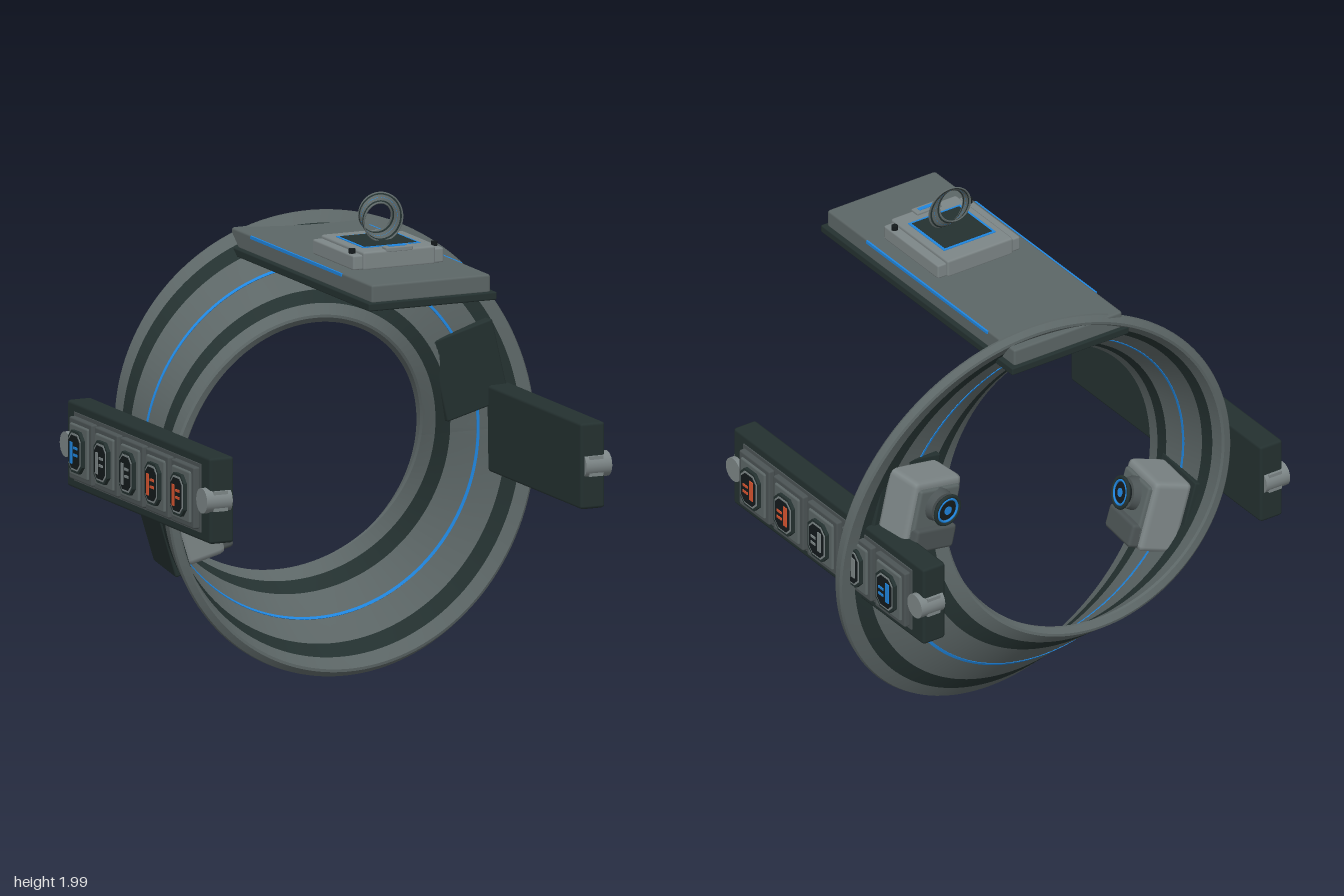
import * as THREE from 'three';
import { RoundedBoxGeometry } from 'three/addons/geometries/RoundedBoxGeometry.js';

const mat = (name, color, side = THREE.FrontSide) => {
  const m = new THREE.MeshStandardMaterial({ color, side });
  m.name = name;
  return m;
};
const hull = mat('gunmetal', 0x5c6666);
const panel = mat('panelGrey', 0x4c5455);
const dark = mat('darkGreen', 0x243130);
const light = mat('lightGrey', 0x7d8687);
const blue = mat('blueGlow', 0x1f86e0);
const orange = mat('orangeGlow', 0xdb5530);
const black = mat('black', 0x141a1c);

const add = (parent, name, geo, material, x = 0, y = 0, z = 0) => {
  const m = new THREE.Mesh(geo, material);
  m.name = name;
  m.position.set(x, y, z);
  parent.add(m);
  return m;
};
const box = (parent, name, material, w, h, d, x, y, z) =>
  add(parent, name, new THREE.BoxGeometry(w, h, d), material, x, y, z);
const rbox = (parent, name, material, w, h, d, x, y, z, r = 0.012) =>
  add(parent, name, new RoundedBoxGeometry(w, h, d, 1, r), material, x, y, z);

// Half-twisted band: s runs across the width, h through the thickness
const R = 0.7, HALF = 0.25, THICK = 0.022;
function bandPoint(u, s, h) {
  const c = Math.cos(u / 2), n = Math.sin(u / 2);
  const r = R + s * c + h * n;
  return [r * Math.cos(u), r * Math.sin(u), h * c - s * n];
}
// Each segment [s0, h0, s1, h1] is swept once round the loop
function bandStrip(segments, steps) {
  const pos = [], index = [];
  for (const [s0, h0, s1, h1] of segments) {
    const start = pos.length / 3;
    for (let i = 0; i <= steps; i++) {
      const u = (i / steps) * Math.PI * 2;
      pos.push(...bandPoint(u, s0, h0), ...bandPoint(u, s1, h1));
      if (i < steps) {
        const a = start + i * 2;
        index.push(a, a + 1, a + 2, a + 1, a + 3, a + 2);
      }
    }
  }
  const g = new THREE.BufferGeometry();
  g.setAttribute('position', new THREE.Float32BufferAttribute(pos, 3));
  g.setIndex(index);
  g.computeVertexNormals();
  return g;
}
function makeBand(steps) {
  const band = new THREE.Group();
  const T = THICK, E = HALF - 0.008, b = T - 0.008;
  // Segments on both faces, mirrored through the centre of the section
  const both = (list) => list.flatMap(([a, h, c, k]) => [[a, h, c, k], [-a, -h, -c, -k]]);
  add(band, 'bandShell', bandStrip(both([
    [-E, T, -0.185, T], [-0.12, T, 0.12, T], [0.185, T, E, T],
  ]), steps), hull);
  add(band, 'bandRim', bandStrip(both([
    [E, T, HALF, b], [HALF, b, HALF, -b], [HALF, -b, E, -T],
  ]), steps), hull);
  add(band, 'bandDarkStripes', bandStrip(both([
    [-0.185, T, -0.12, T], [0.12, T, 0.185, T],
  ]), steps), dark);
  const w = 0.006, k = T + 0.003;
  add(band, 'bandLightLine', bandStrip(both([
    [-w, T, -w, k], [-w, k, w, k], [w, k, w, T],
  ]), steps), blue);
  return band;
}

// Deck with console and small twisted ring
function makeDeck() {
  const g = new THREE.Group();
  g.name = 'deck';
  rbox(g, 'deckBase', dark, 0.55, 0.032, 1.3, 0, 1.658, 0.12, 0.006);
  rbox(g, 'deckPlate', hull, 0.51, 0.075, 1.27, 0, 1.705, 0.12, 0.01);
  for (const s of [-1, 1]) {
    box(g, 'deckSideLight', blue, 0.008, 0.012, 0.82, s * 0.255, 1.734, 0.075);
    rbox(g, 'consoleSideBar', light, 0.045, 0.06, 0.37, s * 0.172, 1.77, 0.275, 0.008);
    add(g, 'consoleKnob', new THREE.CylinderGeometry(0.013, 0.013, 0.02, 12), black, s * 0.176, 1.808, 0.41);
  }
  rbox(g, 'consoleBody', light, 0.31, 0.075, 0.39, 0, 1.775, 0.275, 0.01);
  box(g, 'consoleLightFrame', blue, 0.245, 0.006, 0.245, 0, 1.812, 0.275);
  box(g, 'consoleScreen', dark, 0.222, 0.006, 0.222, 0, 1.814, 0.275);
  rbox(g, 'consoleTab', light, 0.115, 0.02, 0.045, 0, 1.812, 0.448, 0.005);
  box(g, 'consoleTabLight', blue, 0.075, 0.004, 0.018, 0, 1.822, 0.448);
  const ring = makeBand(48);
  ring.name = 'miniatureBand';
  ring.scale.setScalar(0.108);
  ring.position.set(0, 1.905, 0.285);
  g.add(ring);
  return g;
}

// Chamfered plate lying in the local YZ plane, extruded along +x
function chamferPlate(w, h, c, depth) {
  const a = w / 2, b = h / 2;
  const shape = new THREE.Shape([
    [-a + c, -b], [a - c, -b], [a, -b + c], [a, b - c],
    [a - c, b], [-a + c, b], [-a, b - c], [-a, -b + c],
  ].map(([x, y]) => new THREE.Vector2(x, y)));
  return new THREE.ExtrudeGeometry(shape, { depth, bevelEnabled: false }).rotateY(Math.PI / 2);
}

// Side rail with five display modules on its outer (+x) face
function makeRail(side) {
  const g = new THREE.Group();
  g.name = side > 0 ? 'leftRail' : 'rightRail';
  rbox(g, 'railBeam', dark, 0.105, 0.34, 1.29, 0, 0, 0, 0.012);
  box(g, 'railPanel', panel, 0.008, 0.27, 1.14, 0.053, 0, 0);
  for (const s of [-1, 1]) {
    const cap = add(g, 'railEndCap', new THREE.CylinderGeometry(0.05, 0.05, 0.11, 20), light, 0.018, 0, s * 0.615);
    cap.rotation.z = Math.PI / 2;
    box(g, 'railEndClamp', light, 0.06, 0.08, 0.03, 0.01, 0, s * 0.642);
  }
  [orange, orange, light, light, blue].forEach((glow, i) => {
    const m = new THREE.Group();
    m.name = 'displayModule';
    m.position.z = 0.46 - i * 0.23;
    rbox(m, 'moduleFrame', panel, 0.03, 0.245, 0.205, 0.068, 0, 0, 0.008);
    rbox(m, 'moduleStep', hull, 0.024, 0.205, 0.165, 0.08, 0, 0, 0.008);
    add(m, 'moduleBezel', chamferPlate(0.125, 0.165, 0.03, 0.016), dark, 0.09, 0, 0);
    add(m, 'moduleRing', chamferPlate(0.108, 0.145, 0.026, 0.006), light, 0.102, 0, 0);
    add(m, 'moduleScreen', chamferPlate(0.094, 0.13, 0.022, 0.006), black, 0.104, 0, 0);
    // Signal bars, always stacked toward the rear
    box(m, 'signalBar', glow, 0.005, 0.085, 0.022, 0.111, 0.005, -0.022);
    for (const y of [-0.018, 0.01]) box(m, 'signalDash', glow, 0.005, 0.01, 0.032, 0.111, y, 0.018);
    g.add(m);
  });
  // Mirrored rail: half turn with the modules placed in reverse order
  if (side < 0) {
    g.rotation.y = Math.PI;
    g.children.filter((c) => c.name === 'displayModule').forEach((c) => {
      c.position.z *= -1;
      c.rotation.x = Math.PI;
    });
  }
  g.position.set(side * 0.795, 0.9, -0.105);
  return g;
}

// Camera pod: local y up along the band, z away from its face
function makePod(place, orient, flip) {
  const g = new THREE.Group();
  g.name = 'cameraPod';
  rbox(g, 'podBase', dark, 0.29, 0.33, 0.07, 0, 0, 0, 0.008);
  rbox(g, 'podBody', light, 0.25, 0.3, 0.17, 0, 0, 0.11, 0.025);
  rbox(g, 'podFace', hull, 0.21, 0.22, 0.03, 0, 0.01, 0.195, 0.012);
  rbox(g, 'podChin', panel, 0.21, 0.1, 0.12, 0, -0.09, 0.175, 0.015);
  const lens = new THREE.Group();
  lens.name = 'podLens';
  lens.position.set(0, 0.05, 0.2);
  lens.rotation.x = Math.PI / 2;
  const disc = (name, m, r0, r1, h, y) => add(lens, name, new THREE.CylinderGeometry(r0, r1, h, 24), m, 0, y, 0);
  disc('lensBarrel', panel, 0.06, 0.07, 0.04, 0.02);
  disc('lensNeck', black, 0.045, 0.045, 0.03, 0.045);
  disc('lensGlass', black, 0.04, 0.04, 0.006, 0.064);
  disc('lensPupil', blue, 0.018, 0.018, 0.006, 0.066);
  const hoop = (name, m, r, t, y) => {
    add(lens, name, new THREE.TorusGeometry(r, t, 8, 28), m, 0, y, 0).rotation.x = Math.PI / 2;
  };
  hoop('lensOuterHoop', dark, 0.06, 0.008, 0.064);
  hoop('lensLightHoop', blue, 0.048, 0.005, 0.066);
  g.add(lens);

  const r = new THREE.Vector3(Math.cos(orient), Math.sin(orient), 0);
  const up = new THREE.Vector3(-r.y, r.x, 0).multiplyScalar(flip);
  const out = r.clone().multiplyScalar(-Math.sin(orient / 2));
  out.z = -Math.cos(orient / 2);
  g.quaternion.setFromRotationMatrix(new THREE.Matrix4().makeBasis(up.clone().cross(out), up, out));
  g.position.set(...bandPoint(place, 0, 0));
  return g;
}

export function createModel() {
  const model = new THREE.Group();
  model.name = 'twistedStation';
  const loop = new THREE.Group();
  loop.name = 'twistedLoop';
  const band = makeBand(160);
  band.name = 'twistedBand';
  const deg = Math.PI / 180;
  loop.add(band, makePod(20 * deg, 13 * deg, 1), makePod(203 * deg, 197 * deg, -1));
  loop.position.set(0, 0.898, -0.32);
  model.add(loop, makeDeck(), makeRail(1), makeRail(-1));
  model.position.x = -0.025;
  const root = new THREE.Group();
  root.add(model);
  return root;
}
